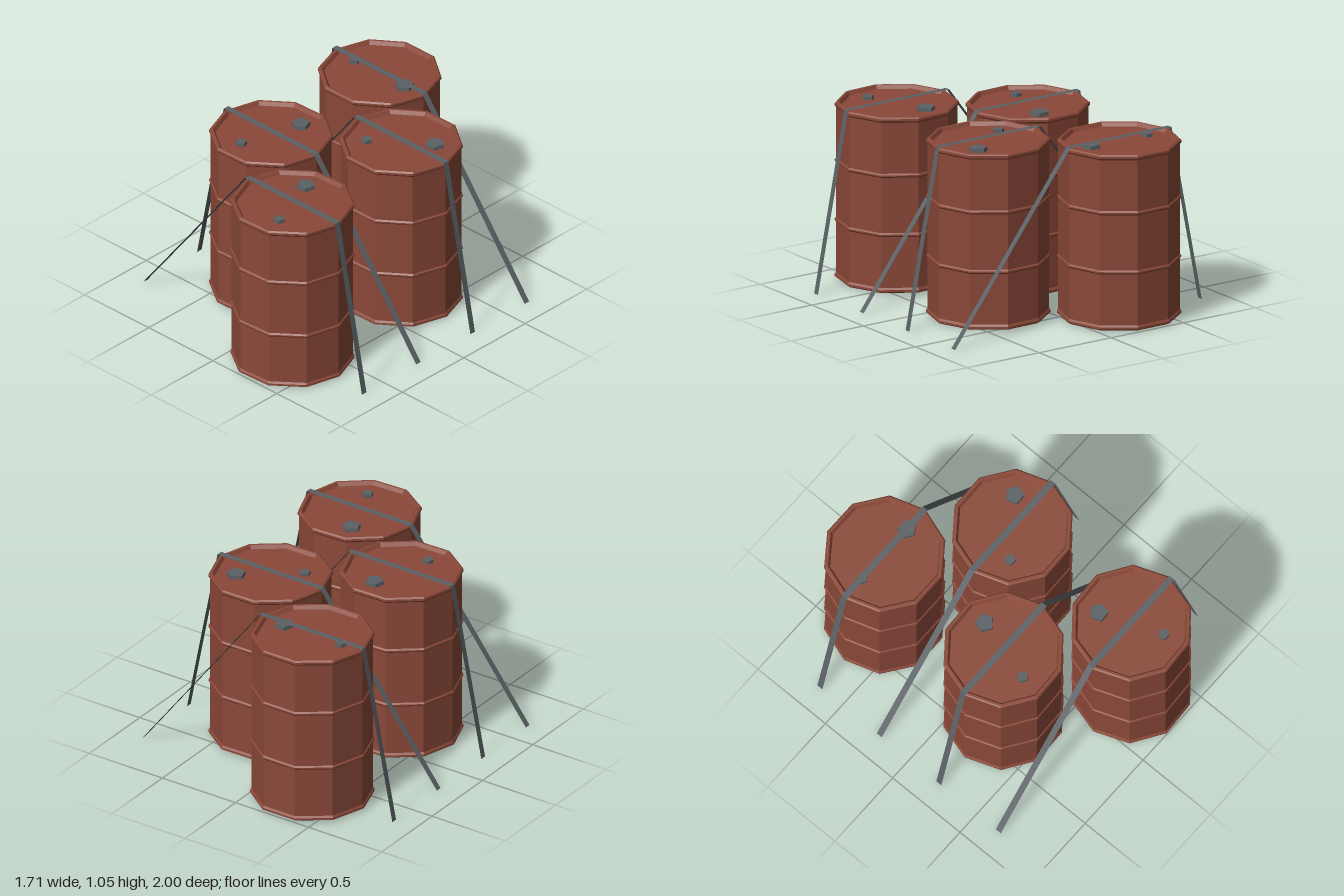
import * as THREE from 'three';

const rust = new THREE.MeshStandardMaterial({ color: 0x8a4838, flatShading: true });
const steel = new THREE.MeshStandardMaterial({ color: 0x5a6164, flatShading: true });
const strapMaterial = new THREE.MeshStandardMaterial({ color: 0x5a6164, flatShading: true, side: THREE.DoubleSide });

const RADIUS = 0.351, BODY = 0.343, LID_Y = 1.018, STRAP_Y = 1.048;

// Drum outline: floor, bottom lip, two rolling hoops, top rim, recessed lid
function drumGeometry() {
  const hoop = y => [[BODY, y - 0.012], [RADIUS, y - 0.004], [RADIUS, y + 0.004], [BODY, y + 0.012]];
  const profile = [
    [0, 0.006], [0.338, 0.006], [RADIUS, 0.014], [RADIUS, 0.026], [BODY, 0.037],
    ...hoop(0.348), ...hoop(0.697),
    [BODY, 1.008], [RADIUS, 1.018], [RADIUS, 1.031], [0.342, 1.039], [0.329, 1.039],
    [0.316, LID_Y], [0, LID_Y],
  ].map(([r, y]) => new THREE.Vector2(r, y));
  return new THREE.LatheGeometry(profile, 10, Math.PI / 2);
}

// Five-sided bung on the lid
function bung(name, radius, height, x) {
  const mesh = new THREE.Mesh(new THREE.CylinderGeometry(radius * 0.96, radius, height, 5), steel);
  mesh.name = name;
  mesh.position.set(x, LID_Y + height / 2, 0);
  return mesh;
}

// Flat ribbon that runs over one drum and down to the ground on both sides
function strapGeometry(drumX) {
  const path = [[-0.855, 0], [drumX - RADIUS, STRAP_Y], [drumX + RADIUS, STRAP_Y], [0.855, 0]];
  const half = 0.0185, positions = [], index = [];
  path.forEach(([x, y], i) => {
    positions.push(x, y, half, x, y, -half);
    if (i > 0) {
      const a = 2 * i - 2;
      index.push(a, a + 2, a + 1, a + 1, a + 2, a + 3);
    }
  });
  const geometry = new THREE.BufferGeometry();
  geometry.setAttribute('position', new THREE.Float32BufferAttribute(positions, 3));
  geometry.setIndex(index);
  const flat = geometry.toNonIndexed();
  flat.computeVertexNormals();
  return flat;
}

export function createModel() {
  const model = new THREE.Group();
  model.name = 'strappedDrums';
  const drumShape = drumGeometry();

  // Four staggered drums, each turned a little further than the last
  for (let i = 0; i < 4; i++) {
    const x = i % 2 ? 0.295 : -0.295;
    const z = -0.665 + i * 0.4415;

    const drum = new THREE.Group();
    drum.name = 'drum' + (i + 1);
    drum.position.set(x, 0, z);
    drum.rotation.y = THREE.MathUtils.degToRad(37 * i);
    const body = new THREE.Mesh(drumShape, rust);
    body.name = 'drumBody';
    drum.add(body, bung('largeBung', 0.056, 0.022, 0.194), bung('smallBung', 0.034, 0.02, -0.194));

    const strap = new THREE.Mesh(strapGeometry(x), strapMaterial);
    strap.name = 'strap' + (i + 1);
    strap.position.z = z;
    model.add(drum, strap);
  }
  return model;
}
